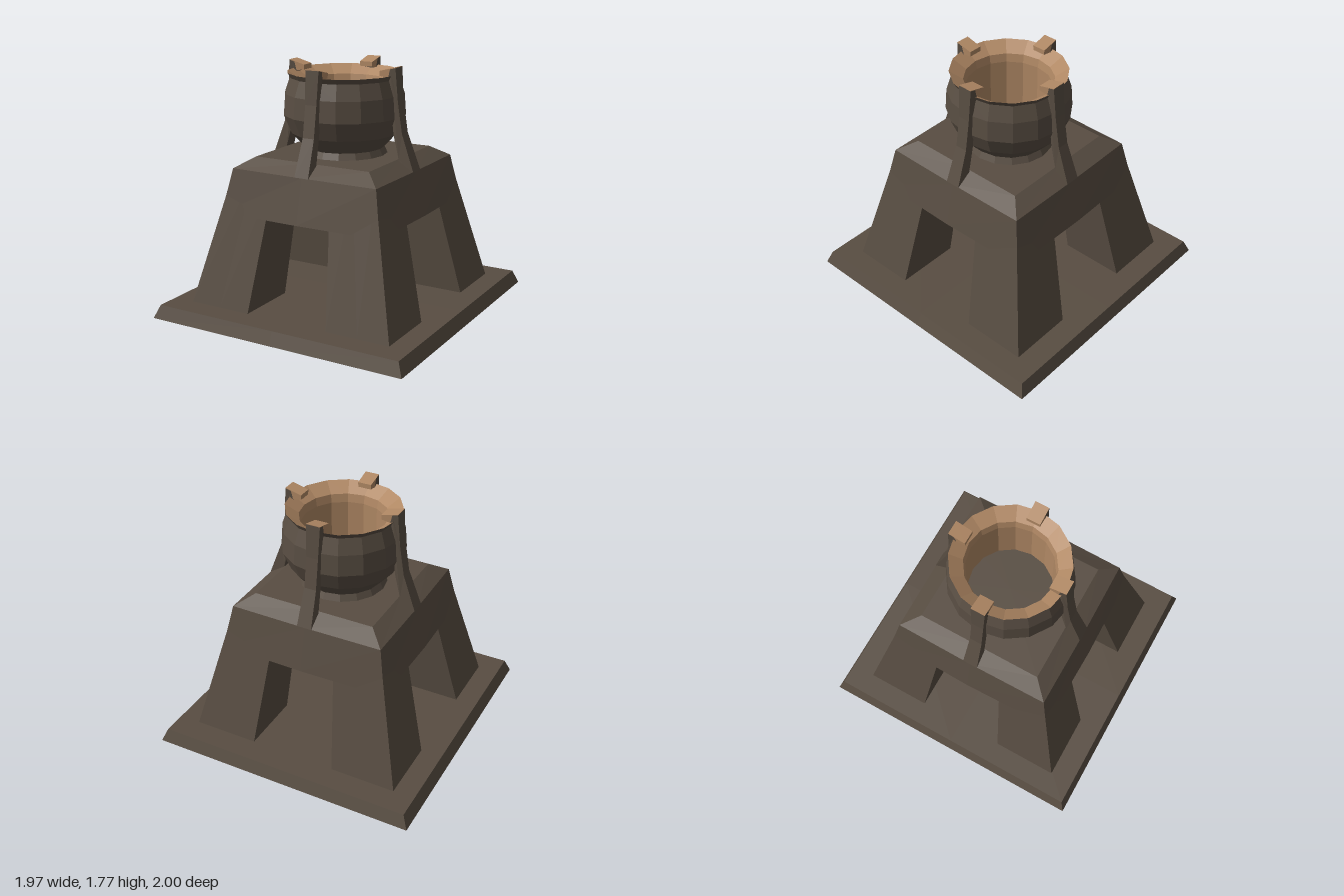
import * as THREE from 'three';

const DEPTH = 1.015; // plan is slightly deeper than wide
const RIGHT = 0, TOP = 2, BOTTOM = 3; // face groups of a box

// Flat facets: split shared vertices and recompute normals
function facet(geometry) {
  const flat = geometry.index ? geometry.toNonIndexed() : geometry;
  flat.computeVertexNormals();
  return flat;
}

// Block whose bottom and top are rectangles [x0, x1, z0, z1, bow];
// bow pushes the middle of each side outwards, open lists the faces left out
function taperedBlock(y0, bottom, y1, top, open = []) {
  const geometry = new THREE.BoxGeometry(1, 1, 1, 2, 1, 2);
  const p = geometry.attributes.position;
  const { lerp } = THREE.MathUtils;
  for (let i = 0; i < p.count; i++) {
    const x = p.getX(i), z = p.getZ(i), up = p.getY(i) > 0;
    const [x0, x1, z0, z1, bow = 0] = up ? top : bottom;
    p.setXYZ(
      i,
      lerp(x0, x1, x + 0.5) + 2 * x * bow * (1 - 2 * Math.abs(z)),
      up ? y1 : y0,
      lerp(z0, z1, z + 0.5) + 2 * z * bow * (1 - 2 * Math.abs(x))
    );
  }
  const index = Array.from(geometry.index.array);
  geometry.setIndex(
    geometry.groups
      .filter((g) => !open.includes(g.materialIndex))
      .flatMap((g) => index.slice(g.start, g.start + g.count))
  );
  geometry.clearGroups();
  return facet(geometry);
}

const centred = (x, z, bow) => [-x, x, -z, z, bow];

// Side profile extruded across the arm, slightly waisted at mid height
function armPiece(points) {
  const shape = new THREE.Shape(points.map(([x, y]) => new THREE.Vector2(x, y)));
  const geometry = new THREE.ExtrudeGeometry(shape, { depth: 1, bevelEnabled: false });
  const p = geometry.attributes.position;
  for (let i = 0; i < p.count; i++) {
    const half = 0.043 + 0.08 * (p.getY(i) - 1.43) ** 2;
    p.setZ(i, p.getZ(i) > 0.5 ? half : -half);
  }
  return facet(geometry);
}

function ring(points) {
  const profile = points.map(([r, y]) => new THREE.Vector2(r, y));
  return facet(new THREE.LatheGeometry(profile, 16).scale(1, 1, DEPTH));
}

export function createModel() {
  const model = new THREE.Group();
  const stone = new THREE.MeshStandardMaterial({ color: 0x584d42, side: THREE.DoubleSide });
  stone.name = 'dark stone';
  const copper = new THREE.MeshStandardMaterial({ color: 0xb08864 });
  copper.name = 'warm copper';

  const add = (name, geometry, material, parent = model) => {
    const mesh = new THREE.Mesh(geometry, material);
    mesh.name = name;
    parent.add(mesh);
  };

  // Base slab: a hollow tray, open underneath
  add('baseSlab', taperedBlock(0, centred(0.985, 1), 0.095, centred(0.945, 0.965), [BOTTOM]), stone);

  // Four leaning legs, running up inside the cap
  for (const sx of [-1, 1]) {
    for (const sz of [-1, 1]) {
      const rect = (xi, xo, zi, zo) => [
        ...(sx > 0 ? [xi, xo] : [-xo, -xi]),
        ...(sz > 0 ? [zi, zo] : [-zo, -zi]),
      ];
      add(
        `${sz > 0 ? 'front' : 'back'}${sx > 0 ? 'Left' : 'Right'}Leg`,
        taperedBlock(
          0.095, rect(0.315, 0.79, 0.325, 0.795),
          1.05, rect(0.22, 0.56, 0.225, 0.568), [TOP, BOTTOM]
        ),
        stone
      );
    }
  }

  // Cap block with slightly bowed sides, and its hipped top
  const capEdge = centred(0.567, 0.574, 0.006);
  add('capBlock', taperedBlock(0.74, centred(0.629, 0.637, 0.014), 1.055, capEdge, [TOP]), stone);
  add('capTop', taperedBlock(1.055, capEdge, 1.13, centred(0.45, 0.457), [BOTTOM]), stone);

  // Bowl: dark outside, copper inside, dark floor
  add('bowlOutside', ring([
    [0.31, 1.125], [0.285, 1.175], [0.38, 1.28], [0.435, 1.41],
    [0.424, 1.56], [0.385, 1.67], [0.405, 1.705],
  ]), stone);
  add('bowlInside', ring([[0.405, 1.705], [0.31, 1.64], [0.298, 1.58], [0.297, 1.2]]), copper);
  add('bowlFloor', ring([[0.3, 1.2], [0, 1.2]]), stone);

  // Four arms with copper hooks over the rim
  const armGeometry = armPiece([
    [0.47, 1.055], [0.575, 1.055], [0.48, 1.31], [0.445, 1.53],
    [0.427, 1.762], [0.385, 1.751], [0.37, 1.69], [0.385, 1.55], [0.415, 1.3], [0.46, 1.13],
  ]);
  // Hook tip with a thin lip lying over the arm's top
  const hookGeometry = armPiece([
    [0.37, 1.69], [0.385, 1.751], [0.427, 1.762], [0.427, 1.766], [0.305, 1.735], [0.305, 1.7],
  ]);
  ['left', 'back', 'right', 'front'].forEach((side, i) => {
    const arm = new THREE.Group();
    arm.name = `${side}Arm`;
    arm.rotation.y = (i * Math.PI) / 2;
    arm.position.z = [0, -0.007, 0, 0.007][i];
    add(`${side}ArmBar`, armGeometry, stone, arm);
    add(`${side}ArmHook`, hookGeometry, copper, arm);
    model.add(arm);
  });

  return model;
}
